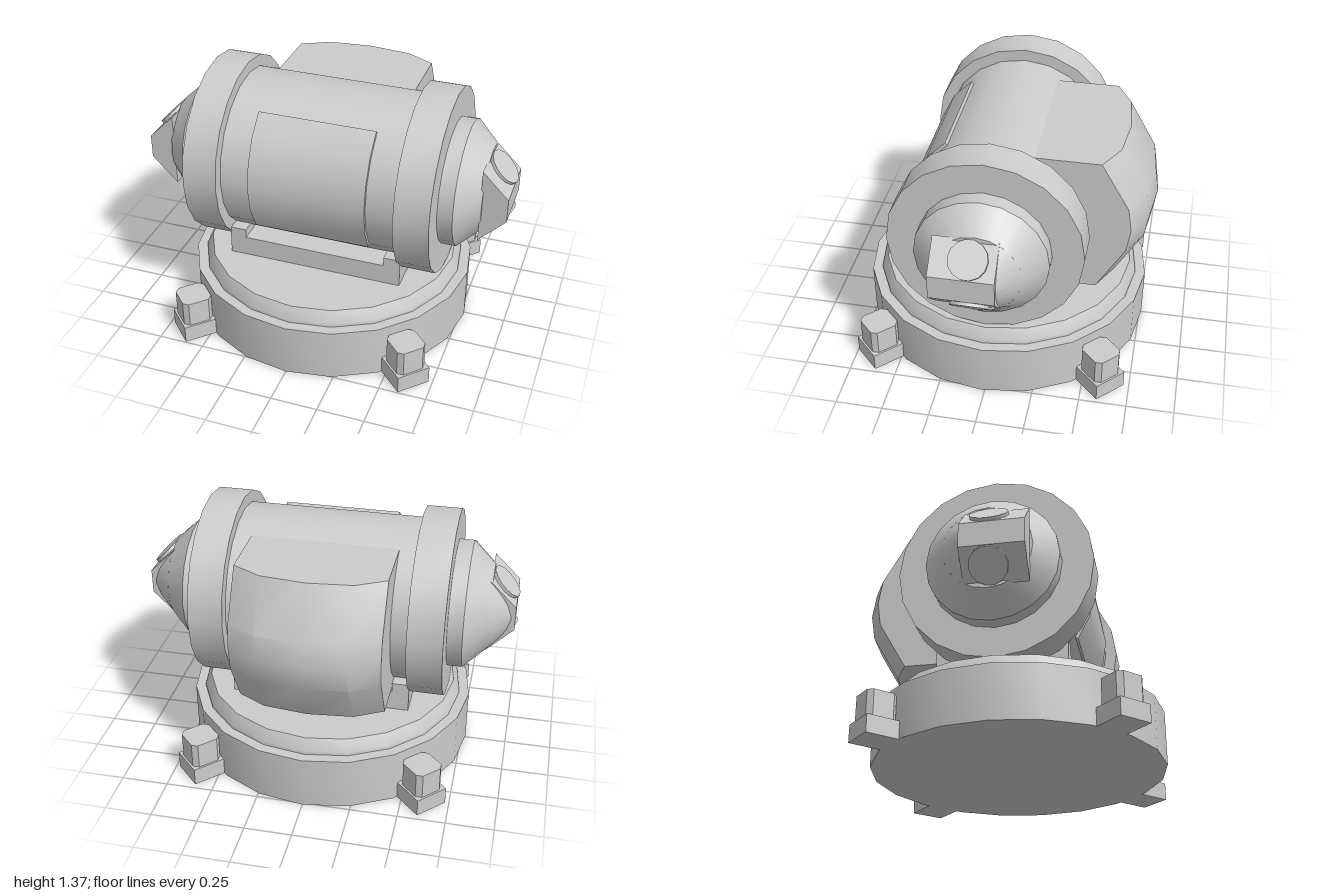
import * as THREE from 'three';
import { toCreasedNormals } from 'three/addons/utils/BufferGeometryUtils.js';
import { ConvexGeometry } from 'three/addons/geometries/ConvexGeometry.js';

const SIDES = 20;
const AXIS_Y = 0.87; // height of the barrel axis
const MID_Z = 0.0125; // depth of the barrel and base axis
const mat = new THREE.MeshStandardMaterial({ color: 0xcccccc });

function add(parent, name, geometry, x = 0, y = 0, z = 0) {
  const mesh = new THREE.Mesh(toCreasedNormals(geometry, 0.5), mat);
  mesh.name = name;
  mesh.position.set(x, y, z);
  parent.add(mesh);
  return mesh;
}

// Closed turned solid from [radius, height] pairs, bottom to top
function turned(profile) {
  return new THREE.LatheGeometry(profile.map(([r, h]) => new THREE.Vector2(r, h)), SIDES);
}

function extruded(points, depth) {
  const shape = new THREE.Shape(points.map(([x, y]) => new THREE.Vector2(x, y)));
  return new THREE.ExtrudeGeometry(shape, { depth, bevelEnabled: false });
}

function addBase(root) {
  add(root, 'base', turned([[0, 0], [0.775, 0], [0.775, 0.29], [0, 0.29]]), 0, 0, MID_Z);
  add(root, 'baseStep', turned([[0, 0.28], [0.72, 0.28], [0.72, 0.305], [0.685, 0.37], [0, 0.37]]), 0, 0, MID_Z);

  // Four diagonal lugs, each with a chamfered bolt block
  const a = 0.097, b = 0.018;
  const bolt = [[a, -b], [a, b], [b, a], [-b, a], [-a, b], [-a, -b], [-b, -a], [b, -a]];
  for (const sx of [-1, 1]) {
    for (const sz of [-1, 1]) {
      const foot = new THREE.Group();
      foot.name = 'foot';
      foot.position.set(sx * 0.6, 0, MID_Z + sz * 0.603);
      add(foot, 'footPlate', new THREE.BoxGeometry(0.184, 0.095, 0.184).rotateY(Math.PI / 4), 0, 0.0475, 0);
      add(foot, 'footBolt', extruded(bolt, 0.23).rotateX(-Math.PI / 2), 0, 0.005, 0);
      root.add(foot);
    }
  }

  // Saddle with raised ends
  const saddle = [[-0.48, 0.36], [0.48, 0.36], [0.48, 0.53], [0.39, 0.53], [0.39, 0.48], [-0.39, 0.48], [-0.39, 0.53], [-0.48, 0.53]];
  add(root, 'saddle', extruded(saddle, 0.675), 0, 0, MID_Z - 0.3375);
}

function addBarrel(root) {
  const tube = turned([[0, -0.5], [0.437, -0.5], [0.437, 0.5], [0, 0.5]]).rotateZ(-Math.PI / 2);
  add(root, 'barrel', tube, 0, AXIS_Y, MID_Z);

  // Curved front panel, five facets wide
  const outer = [], inner = [];
  for (let i = 0; i <= 5; i++) {
    const t = THREE.MathUtils.degToRad(-36 + 18 * i);
    outer.push([0.455 * Math.cos(t), 0.455 * Math.sin(t)]);
    inner.unshift([0.425 * Math.cos(t), 0.425 * Math.sin(t)]);
  }
  const panel = extruded([...outer, ...inner], 0.63).translate(0, 0, -0.315).rotateY(-Math.PI / 2);
  add(root, 'frontPanel', panel, 0, AXIS_Y, MID_Z);
}

function addEnd(root, side) {
  const end = new THREE.Group();
  end.name = side > 0 ? 'leftEnd' : 'rightEnd';
  end.position.set(0, AXIS_Y, MID_Z);
  root.add(end);
  const turn = -side * Math.PI / 2;
  add(end, 'flange', turned([[0, 0.475], [0.5, 0.475], [0.5, 0.66], [0, 0.66]]).rotateZ(turn));
  add(end, 'endCap', turned([[0, 0.65], [0.34, 0.65], [0.34, 0.74], [0.225, 0.86], [0, 0.86]]).rotateZ(turn));

  // Rear slice of the cone tip, cut flat behind the nose block
  const cut = 0.1175, points = [];
  for (const x of [0.86, 0.89, 0.92, 0.945, 0.967]) {
    const r = 0.225 - (x - 0.86);
    const half = Math.acos(Math.min(1, cut / r));
    for (let i = -4; i <= 4; i++) {
      const t = half * i / 4;
      points.push(new THREE.Vector3(side * x, r * Math.sin(t), -r * Math.cos(t)));
    }
  }
  add(end, 'coneTip', new ConvexGeometry(points));

  // Nose block with sloped faces, each carrying a round button
  const nose = [[0.85, -0.205], [0.99, -0.065], [0.99, 0.065], [0.85, 0.205]].map(([x, y]) => [side * x, y]);
  add(end, 'noseBlock', extruded(nose, 0.325), 0, 0, -0.1175);
  for (const up of [-1, 1]) {
    const button = new THREE.CylinderGeometry(0.098, 0.098, 0.02, 14)
      .rotateZ(-side * (up > 0 ? 0.25 : 0.75) * Math.PI);
    add(end, 'noseButton', button, side * 0.925, up * 0.14, 0.02);
  }
}

// Rear housing: a box whose back bulges across both directions
function addHousing(root) {
  const xs = [-0.385, -0.235, 0, 0.235, 0.385], dropX = [0.105, 0.025, 0, 0.025, 0.105];
  const ys = [-0.383, -0.13, 0, 0.13, 0.383], dropY = [0.165, 0.02, 0, 0.02, 0.165];
  const geometry = new THREE.BoxGeometry(4, 4, 1, 4, 4, 1);
  const p = geometry.attributes.position;
  for (let k = 0; k < p.count; k++) {
    const i = Math.round(p.getX(k)) + 2, j = Math.round(p.getY(k)) + 2;
    const z = p.getZ(k) > 0 ? -0.1 : -0.79 + dropX[i] + dropY[j];
    p.setXYZ(k, xs[i], ys[j], z);
  }
  add(root, 'rearHousing', geometry, 0, AXIS_Y, 0);
}

export function createModel() {
  const root = new THREE.Group();
  root.name = 'mountedBarrel';
  addBase(root);
  addBarrel(root);
  for (const side of [-1, 1]) addEnd(root, side);
  addHousing(root);
  return root;
}
